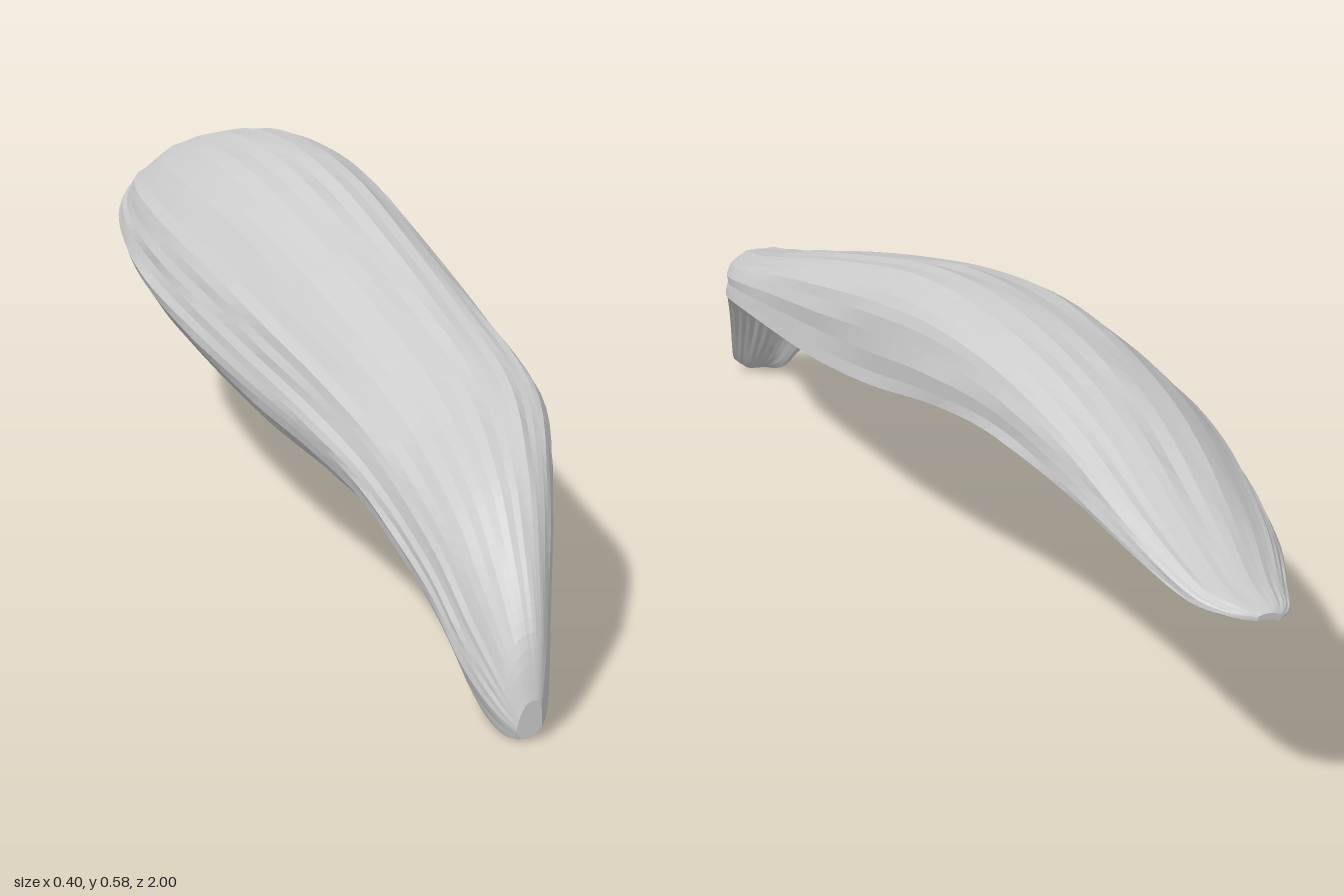
import * as THREE from 'three';

// Sections along the length: z, top y, low-edge y, left x, right x, right-rim y
const SECTIONS = [
  [1.0, 0.06, 0.004, -0.012, 0.025, 0.02],
  [0.97, 0.15, 0.004, -0.034, 0.046, 0.04],
  [0.9, 0.24, 0.03, -0.054, 0.077, 0.14],
  [0.8, 0.325, 0.11, -0.076, 0.12, 0.245],
  [0.6, 0.39, 0.178, -0.095, 0.19, 0.315],
  [0.4, 0.455, 0.198, -0.12, 0.191, 0.325],
  [0.2, 0.51, 0.211, -0.15, 0.19, 0.34],
  [0.0, 0.555, 0.238, -0.18, 0.188, 0.37],
  [-0.2, 0.577, 0.264, -0.198, 0.186, 0.415],
  [-0.4, 0.565, 0.29, -0.188, 0.178, 0.445],
  [-0.6, 0.525, 0.32, -0.152, 0.17, 0.44],
  [-0.8, 0.46, 0.345, -0.085, 0.165, 0.42],
  [-0.93, 0.415, 0.36, -0.018, 0.145, 0.395],
  [-0.98, 0.397, 0.367, 0.01, 0.11, 0.385],
  [-1.0, 0.388, 0.372, 0.035, 0.075, 0.38],
];
const ROWS = 72, OUTER = 32, INNER = 18;

// One smooth curve per column, all sharing the same parameter
const columns = [1, 2, 3, 4, 5].map(
  (c) => new THREE.SplineCurve(SECTIONS.map((s) => new THREE.Vector2(s[0], s[c])))
);

// Closed outline of the pod at parameter t: domed back, then shallow hollow underside
function sectionRing(t) {
  const z = columns[0].getPoint(t).x;
  const [top, low, left, right, rim] = columns.map((c) => c.getPoint(t).y);
  const at = (u, y) => new THREE.Vector2(left + u * (right - left), y);
  const back = new THREE.SplineCurve([
    at(0.14, low),
    at(0, low + 0.23 * (top - low)),
    at(0.035, low + 0.42 * (top - low)),
    at(0.12, low + 0.63 * (top - low)),
    at(0.34, low + 0.9 * (top - low)),
    at(0.62, top),
    at(0.84, rim + 0.95 * (top - rim)),
    at(0.97, rim + 0.66 * (top - rim)),
    at(1, rim),
  ]);
  // the hollow fills out into a rounded stem at the front tip
  const openness = 1 - 2 * Math.max(0, (z - 0.75) / 0.25);
  const hollow = (u, depth) => {
    const chord = low + (rim - low) * u;
    return at(u, Math.max(0, chord + openness * depth * (top - chord)));
  };
  const under = new THREE.SplineCurve([
    at(1, rim), hollow(0.8, 0.09), hollow(0.55, 0.14), hollow(0.32, 0.09), at(0.14, low),
  ]);
  const ring = [
    ...back.getPoints(OUTER).slice(0, -1),
    ...under.getPoints(INNER).slice(0, -1),
  ];
  return ring.map((p) => new THREE.Vector3(p.x, p.y, z));
}

// Repeatable value in -1..1
function noise(i, j) {
  const s = Math.sin(i * 12.9898 + j * 78.233) * 43758.5453;
  return (s - Math.floor(s)) * 2 - 1;
}

// Long creases of the dried surface, drifting slowly from row to row
function wrinkle(i, j) {
  const k = Math.floor(i / 6);
  return THREE.MathUtils.lerp(noise(k, j), noise(k + 1, j), i / 6 - k);
}

function podGeometry() {
  const positions = [], index = [], n = OUTER + INNER;
  for (let i = 0; i <= ROWS; i++) {
    const t = i / ROWS;
    const ring = sectionRing(t);
    ring.forEach((p, j) => {
      const amount = 0.004 * Math.sin(Math.PI * t) * wrinkle(i, j);
      const next = ring[(j + 1) % n], prev = ring[(j + n - 1) % n];
      const normal = new THREE.Vector2(prev.y - next.y, next.x - prev.x).normalize();
      positions.push(p.x + normal.x * amount, p.y + normal.y * amount, p.z);
    });
  }
  for (let i = 0; i < ROWS; i++) {
    for (let j = 0; j < n; j++) {
      const a = i * n + j, b = i * n + ((j + 1) % n);
      index.push(a, b, a + n, b, b + n, a + n);
    }
  }
  // end caps, zipped across between back and underside
  const capRow = (row, flip) => {
    const tri = (a, b, c) => index.push(row + a, row + (flip ? c : b), row + (flip ? b : c));
    for (let lo = 0, hi = n - 1; lo + 1 < hi; lo++, hi--) {
      tri(lo, lo + 1, hi);
      if (lo + 1 < hi - 1) tri(lo + 1, hi - 1, hi);
    }
  };
  capRow(0, true);
  capRow(ROWS * n, false);
  const geometry = new THREE.BufferGeometry();
  geometry.setAttribute('position', new THREE.Float32BufferAttribute(positions, 3));
  geometry.setIndex(index);
  geometry.computeVertexNormals();
  return geometry;
}

export function createModel() {
  const model = new THREE.Group();
  model.name = 'curvedPod';
  const material = new THREE.MeshStandardMaterial({ color: 0xcccccc, flatShading: true });
  const pod = new THREE.Mesh(podGeometry(), material);
  pod.name = 'podShell';
  model.add(pod);
  return model;
}
